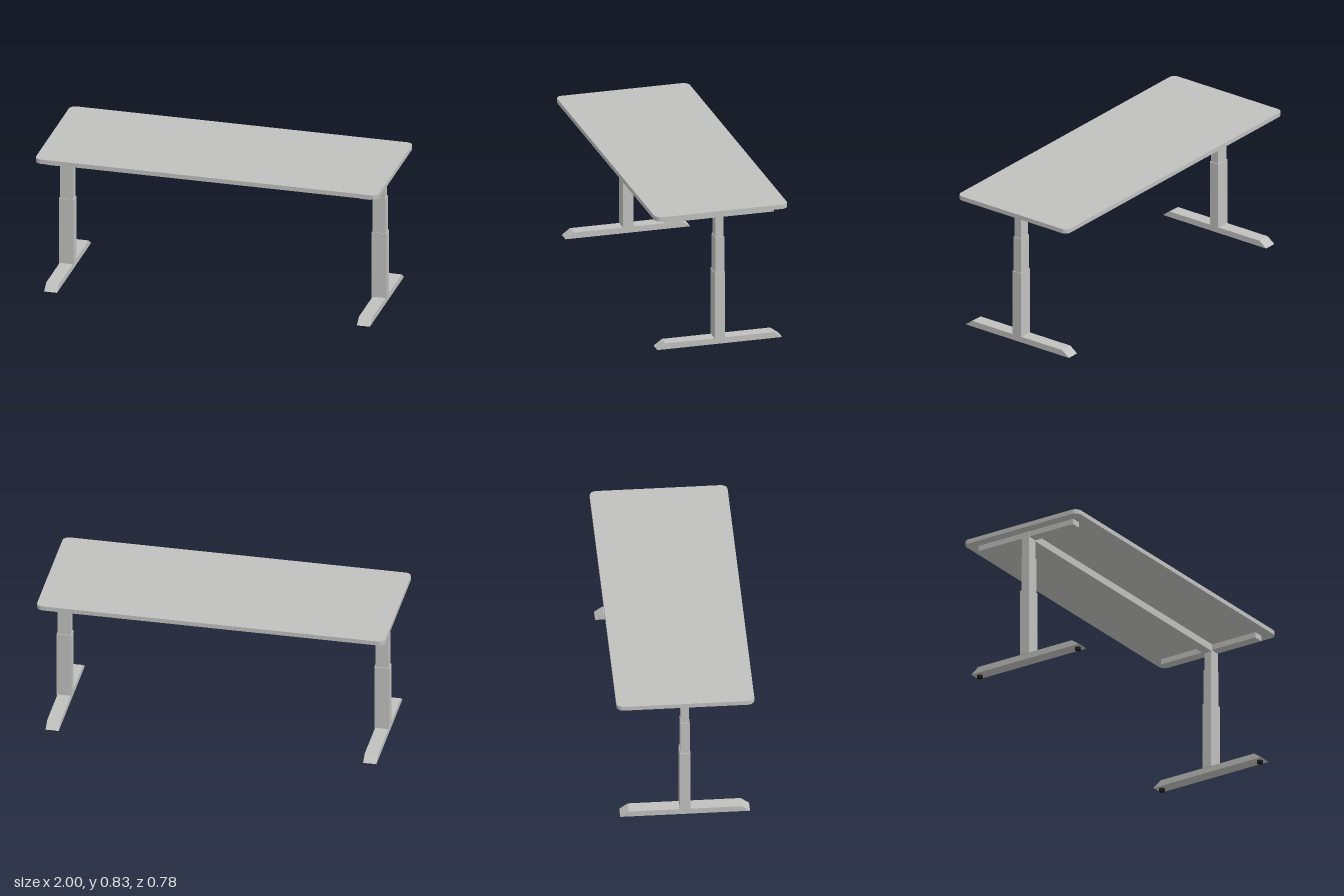
import * as THREE from 'three';

const grey = new THREE.MeshStandardMaterial({ color: 0xc0c0be });
grey.name = 'light grey';
const black = new THREE.MeshStandardMaterial({ color: 0x1c1c1c });
black.name = 'black rubber';

function add(parent, name, geometry, material = grey) {
  const mesh = new THREE.Mesh(geometry, material);
  mesh.name = name;
  parent.add(mesh);
  return mesh;
}

// Box given by width, depth and its bottom and top heights
function block(parent, name, width, depth, y0, y1) {
  const geometry = new THREE.BoxGeometry(width, y1 - y0, depth);
  geometry.translate(0, (y0 + y1) / 2, 0);
  return add(parent, name, geometry);
}

// Flat slab with rounded corners
function tabletopGeometry(hx, hz, r, y0, y1) {
  const s = new THREE.Shape();
  s.absarc(hx - r, hz - r, r, 0, Math.PI / 2);
  s.absarc(-hx + r, hz - r, r, Math.PI / 2, Math.PI);
  s.absarc(-hx + r, -hz + r, r, Math.PI, Math.PI * 1.5);
  s.absarc(hx - r, -hz + r, r, Math.PI * 1.5, Math.PI * 2);
  s.closePath();
  const geometry = new THREE.ExtrudeGeometry(s, { depth: y1 - y0, bevelEnabled: false, curveSegments: 10 });
  geometry.rotateX(-Math.PI / 2);
  geometry.translate(0, y0, 0);
  return geometry;
}

// Foot bar with sloping ends
function footGeometry(width) {
  const s = new THREE.Shape([
    new THREE.Vector2(-0.366, 0.016), new THREE.Vector2(0.366, 0.016),
    new THREE.Vector2(0.318, 0.051), new THREE.Vector2(-0.318, 0.051),
  ]);
  const geometry = new THREE.ExtrudeGeometry(s, { depth: width, bevelEnabled: false });
  geometry.translate(0, 0, -width / 2);
  geometry.rotateY(Math.PI / 2);
  return geometry;
}

function createLeg(name, x) {
  const leg = new THREE.Group();
  leg.name = name;
  leg.position.x = x;
  add(leg, 'foot', footGeometry(0.076));
  // Telescoping column in three stages
  block(leg, 'lowerColumn', 0.086, 0.06, 0.047, 0.446);
  block(leg, 'middleColumn', 0.076, 0.052, 0.446, 0.658);
  block(leg, 'upperColumn', 0.066, 0.046, 0.658, 0.807);
  block(leg, 'topBracket', 0.06, 0.642, 0.774, 0.807);
  // Levelling pads
  for (const z of [-0.333, 0.333]) {
    const pad = add(leg, 'levellingPad', new THREE.CylinderGeometry(0.017, 0.017, 0.016, 24), black);
    pad.position.set(0, 0.008, z);
  }
  return leg;
}

export function createModel() {
  const desk = new THREE.Group();
  desk.name = 'standingDesk';
  add(desk, 'tabletop', tabletopGeometry(1, 0.389, 0.038, 0.807, 0.833));
  block(desk, 'crossbeam', 1.77, 0.056, 0.764, 0.807);
  desk.add(createLeg('leftLeg', 0.912), createLeg('rightLeg', -0.912));
  return desk;
}
